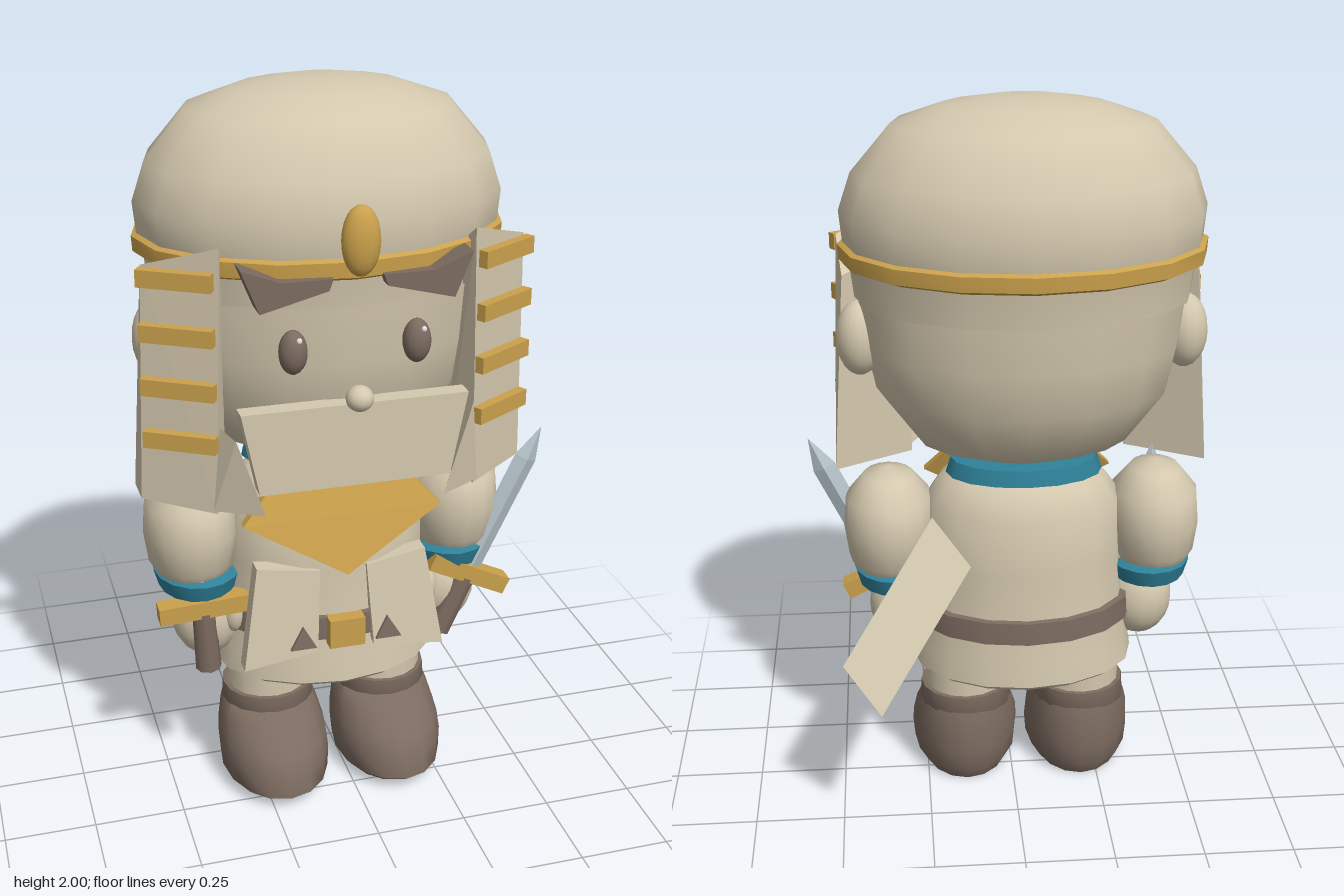
import * as THREE from 'three';
import { toCreasedNormals } from 'three/addons/utils/BufferGeometryUtils.js';
import { ConvexGeometry } from 'three/addons/geometries/ConvexGeometry.js';

const material = (name, color) => {
  const m = new THREE.MeshStandardMaterial({ color });
  m.name = name;
  return m;
};

export function createModel() {
  const cloth = material('sand cloth', 0xd4c8ae);
  const gold = material('gold', 0xcba14c);
  const brown = material('brown leather', 0x7c6b60);
  const teal = material('teal trim', 0x2f8199);
  const steel = material('steel', 0xb5c3c9);
  const white = material('white', 0xf4f2ee);

  const model = new THREE.Group();
  model.name = 'warrior';
  const body = new THREE.Group();
  body.name = 'body';
  body.position.x = -0.035;
  model.add(body);

  const add = (name, geometry, mat, x = 0, y = 0, z = 0, parent = body) => {
    const mesh = new THREE.Mesh(geometry, mat);
    mesh.name = name;
    mesh.position.set(x, y, z);
    parent.add(mesh);
    return mesh;
  };
  // Turned part with an elliptical plan; profile runs bottom to top
  const turned = (profile, sx = 1, sz = 1, crease = 0.9) => toCreasedNormals(
    new THREE.LatheGeometry(profile.map(([r, y]) => new THREE.Vector2(r, y)), 16).scale(sx, 1, sz), crease);
  const ball = (rx, ry, rz) => new THREE.SphereGeometry(1, 16, 12).scale(rx, ry, rz);
  const hull = (points) => new ConvexGeometry(points.map((p) => new THREE.Vector3(...p)));
  // Convex plate given by its front corners, thickened backwards
  const slab = (points, t) => hull([...points, ...points.map(([x, y, z]) => [x, y, z - t])]);

  // Head and cap
  add('head', turned([[0, 1], [0.3, 1.01], [0.66, 1.065], [0.9, 1.21], [0.96, 1.34], [1, 1.5]], 0.45, 0.335, 1.2), cloth, 0, 0, 0.03);
  add('cap', turned([[0.85, 1.475], [0.93, 1.475], [0.955, 1.58], [0.985, 1.63], [1, 1.71], [0.93, 1.81],
    [0.71, 1.936], [0.45, 1.98], [0.2, 2], [0, 2]], 0.49, 0.363), cloth, 0, 0, 0.015);
  add('headband', turned([[0.95, 1.57], [1, 1.58], [1.005, 1.62], [0.96, 1.63]], 0.494, 0.367), gold, 0, 0, 0.015);
  add('jewel', ball(0.05, 0.09, 0.036), gold, 0, 1.68, 0.402);
  add('nose', ball(0.036, 0.034, 0.036), cloth, 0, 1.27, 0.4);
  add('beard', slab([[-0.3, 1.245, 0.375], [0.3, 1.245, 0.375], [0.255, 1.02, 0.378], [-0.255, 1.02, 0.378]], 0.05), cloth);

  // Neck, torso and belt
  add('collar', turned([[0.22, 0.965], [0.205, 1.01], [0, 1.02]], 1, 0.62), teal, 0, 0, 0.0);
  add('torso', turned([[0, 0.355], [0.3, 0.355], [0.322, 0.37], [0.312, 0.44], [0.295, 0.55], [0.287, 0.7],
    [0.28, 0.87], [0.24, 0.93], [0.2, 0.965], [0, 0.985]], 1, 0.745), cloth, 0, 0, 0.045);
  add('belt', turned([[0.295, 0.5], [0.317, 0.505], [0.312, 0.57], [0.285, 0.575]], 1, 0.745), brown, 0, 0, 0.045);
  add('buckle', new THREE.BoxGeometry(0.1, 0.085, 0.04), gold, 0, 0.535, 0.285);
  add('chestPlate', slab([[-0.21, 0.945, 0.235], [0.21, 0.945, 0.235], [0.275, 0.875, 0.26],
    [0, 0.718, 0.307], [-0.275, 0.875, 0.26]], 0.028), gold);

  for (const s of [-1, 1]) {
    const side = s > 0 ? 'left' : 'right';
    const flip = (points) => points.map(([x, ...rest]) => [s * x, ...rest]);

    // Face
    add(side + 'Eye', ball(0.037, 0.058, 0.035), brown, s * 0.161, 1.395, 0.36);
    add(side + 'EyeGlint', ball(0.007, 0.008, 0.006), white, s * 0.161 + 0.01, 1.432, 0.386);
    add(side + 'Ear', ball(0.065, 0.105, 0.075), cloth, s * 0.447, 1.35, 0.045);
    const brow = new THREE.Shape(flip([[0.296, 1.625], [0.196, 1.585], [0.064, 1.585], [0.075, 1.555], [0.25, 1.51]])
      .map(([x, y]) => new THREE.Vector2(x, y)));
    add(side + 'Brow', new THREE.ExtrudeGeometry(brow, { depth: 0.07, bevelEnabled: false }), brown, 0, 0, 0.318);

    // Headdress lappet with gold bars
    add(side + 'Lappet', hull(flip([
      [0.33, 1.66, 0.31], [0.505, 1.6, 0.195], [0.49, 1.51, 0.095], [0.3, 1.57, 0.21],
      [0.35, 0.945, 0.3], [0.527, 0.955, 0.175], [0.527, 0.95, 0.07], [0.31, 0.95, 0.2]])), cloth);
    add(side + 'LappetTip', hull(flip([
      [0.34, 1.19, 0.31], [0.36, 0.955, 0.3], [0.24, 0.96, 0.375], [0.31, 1.17, 0.36], [0.31, 0.955, 0.24]])), cloth);
    for (const y of [1.575, 1.432, 1.288, 1.145]) {
      add(side + 'LappetBar', new THREE.BoxGeometry(0.195, 0.045, 0.028), gold, s * 0.433, y, 0.263).rotation.y = s * 0.54;
    }

    // Arm, cuff and hand
    add(side + 'Arm', turned([[0, 0.64], [0.09, 0.65], [0.118, 0.7], [0.13, 0.79], [0.122, 0.88], [0.07, 0.945], [0, 0.968]],
      1, 1.18, 1.3), cloth, s * 0.38, 0, 0.047);
    add(side + 'Cuff', turned([[0.08, 0.615], [0.108, 0.62], [0.122, 0.67], [0.1, 0.68]], 1, 1.2), teal, s * 0.365, 0, 0.047);
    add(side + 'Hand', ball(0.098, 0.122, 0.096), cloth, s * 0.347, 0.525, 0.07);
    add(side + 'Thumb', ball(0.034, 0.065, 0.04), cloth, s * 0.28, 0.555, 0.13);

    // Tunic flap with a dark notch
    add(side + 'Flap', slab(flip([[0.238, 0.735, 0.245], [0.066, 0.715, 0.26], [0.08, 0.48, 0.29], [0.285, 0.445, 0.28]]), 0.05), cloth);
    add(side + 'Notch', slab(flip([[0.12, 0.56, 0.287], [0.158, 0.497, 0.296], [0.085, 0.497, 0.296]]), 0.009), brown);

    // Leg and boot
    add(side + 'Leg', new THREE.CylinderGeometry(0.118, 0.118, 0.25, 16), cloth, s * 0.17, 0.3, 0.048);
    add(side + 'BootCuff', turned([[0.125, 0.2], [0.134, 0.215], [0.13, 0.275], [0.1, 0.277]]), brown, s * 0.17, 0, 0.048);
    const boot = boxlessBoot();
    add(side + 'Boot', boot, brown, s * 0.17, 0, 0);
  }

  // Sword built upright around the guard
  const sword = (name, x, y, z, lean, length) => {
    const g = new THREE.Group();
    g.name = name;
    g.position.set(x, y, z);
    g.rotation.z = lean;
    body.add(g);
    add('grip', new THREE.CylinderGeometry(0.032, 0.036, 0.18, 8), brown, 0, -0.09, 0, g);
    add('guard', new THREE.BoxGeometry(0.25, 0.05, 0.055), gold, 0, 0.015, 0, g);
    const blade = [[0, length, 0]];
    for (const h of [0, length - 0.1]) blade.push([0.034, h, 0], [-0.034, h, 0], [0, h, 0.018], [0, h, -0.018]);
    add('blade', hull(blade), steel, 0, 0, 0, g);
  };
  sword('leftSword', 0.394, 0.575, 0.15, -0.45, 0.49);
  sword('rightSword', -0.37, 0.58, 0.155, 0.05, 0.4);

  // Slanted scabbard board behind the back
  const w = new THREE.Vector3(0.1, 0.12, 0.065);
  const n = new THREE.Vector3(0.25, -0.345, -0.18).cross(w).setLength(0.022);
  const board = [];
  for (const p of [[0.165, 0.79, -0.255], [0.415, 0.445, -0.435]]) {
    for (const a of [0, 1]) for (const b of [-0.5, 0.5]) {
      board.push(new THREE.Vector3(...p).addScaledVector(w, a).addScaledVector(n, b).toArray());
    }
  }
  add('backBoard', hull(board), cloth);

  return model;
}

// Boot lofted from oval rings: height, half width, heel z, toe z
function boxlessBoot() {
  const rings = [[0, 0.001, 0.08, 0.082], [0, 0.125, -0.075, 0.28], [0.04, 0.152, -0.098, 0.335], [0.1, 0.157, -0.102, 0.325],
    [0.15, 0.154, -0.1, 0.295], [0.2, 0.142, -0.093, 0.225], [0.235, 0.13, -0.083, 0.175], [0.24, 0.08, -0.04, 0.13]];
  const seg = 16, position = [], index = [];
  rings.forEach(([y, rx, heel, toe], r) => {
    for (let i = 0; i < seg; i++) {
      const a = (i / seg) * Math.PI * 2;
      position.push(rx * Math.sin(a), y, (heel + toe) / 2 + ((toe - heel) / 2) * Math.cos(a));
      if (r === 0) continue;
      const j = (i + 1) % seg, lo = (r - 1) * seg, hi = r * seg;
      index.push(lo + i, lo + j, hi + i, lo + j, hi + j, hi + i);
    }
  });
  const g = new THREE.BufferGeometry();
  g.setAttribute('position', new THREE.Float32BufferAttribute(position, 3));
  g.setIndex(index);
  return toCreasedNormals(g, 0.9);
}
